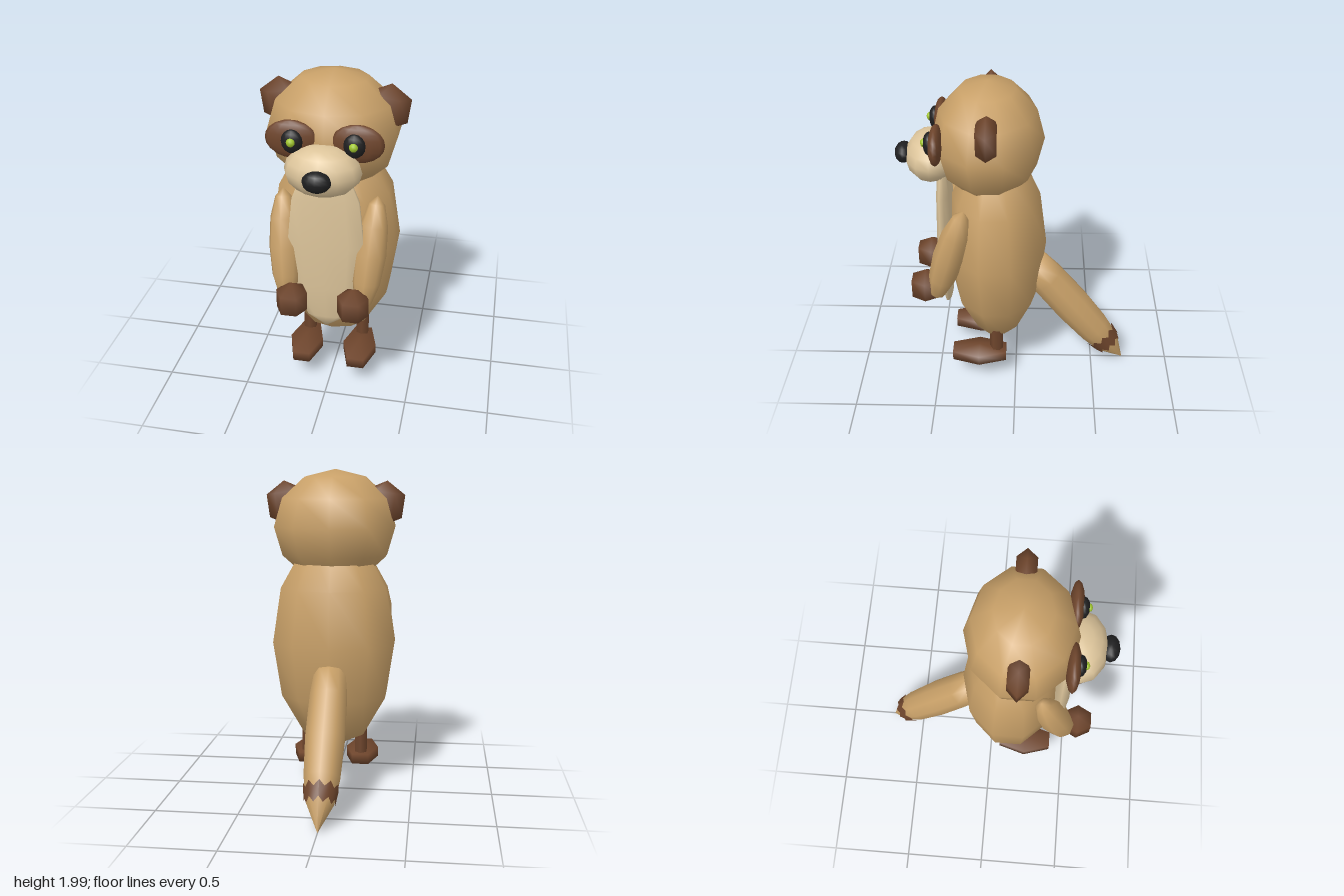
import * as THREE from 'three';

const material = (name, color) => {
  const m = new THREE.MeshStandardMaterial({ color });
  m.name = name;
  return m;
};

export function createModel() {
  const model = new THREE.Group();
  model.name = 'meerkat';

  const tan = material('tanFur', 0xc8a068);
  const cream = material('creamFur', 0xdcc49a);
  const brown = material('brownFur', 0x6e452c);
  const black = material('black', 0x1f1f20);
  const green = material('greenPupil', 0xa2c82e);
  const tanOpen = tan;

  const add = (name, geometry, mat, parent = model) => {
    const mesh = new THREE.Mesh(geometry, mat);
    mesh.name = name;
    parent.add(mesh);
    return mesh;
  };

  // Low-poly ellipsoid; turn spins the columns about y before scaling
  const blob = (name, mat, [x, y, z], [rx, ry, rz], cols, rows, turn = 0) => {
    const g = new THREE.SphereGeometry(1, cols, rows);
    g.rotateY(turn);
    g.scale(rx, ry, rz);
    const mesh = add(name, g, mat);
    mesh.position.set(x, y, z);
    return mesh;
  };

  // Align a part's y axis with the direction from a to b
  const aim = (mesh, a, b) => {
    const dir = new THREE.Vector3().subVectors(b, a).normalize();
    mesh.quaternion.setFromUnitVectors(new THREE.Vector3(0, 1, 0), dir);
  };

  // Torso, belly and head
  const quarter = Math.PI / 2;
  blob('body', tan, [0, 0.935, 0.12], [0.395, 0.685, 0.305], 10, 6, quarter);
  blob('belly', cream, [0, 1.04, 0.43], [0.232, 0.57, 0.052], 10, 6, quarter);
  blob('head', tan, [0, 1.65, 0.16], [0.387, 0.35, 0.325], 10, 6, quarter);

  // Muzzle and nose
  blob('muzzle', cream, [0, 1.537, 0.49], [0.216, 0.146, 0.156], 12, 8, quarter);
  blob('nose', black, [0, 1.547, 0.655], [0.08, 0.06, 0.053], 12, 8);

  for (const s of [1, -1]) {
    const side = s > 0 ? 'left' : 'right';

    // Face
    blob(side + 'EyePatch', brown, [s * 0.182, 1.688, 0.446], [0.146, 0.11, 0.042], 12, 10);
    blob(side + 'Eye', black, [s * 0.17, 1.69, 0.483], [0.06, 0.068, 0.035], 12, 8);
    blob(side + 'Pupil', green, [s * 0.17, 1.695, 0.513], [0.025, 0.025, 0.02], 8, 6);
    const ear = blob(side + 'Ear', brown, [s * 0.3, 1.79, 0.155], [0.139, 0.141, 0.078], 6, 3);
    ear.rotation.z = -s * 0.14;

    // Arm runs from shoulder to wrist
    const shoulder = new THREE.Vector3(s * 0.275, 1.31, 0.3);
    const wrist = new THREE.Vector3(s * 0.225, 0.65, 0.49);
    const mid = shoulder.clone().lerp(wrist, 0.5);
    const arm = blob(side + 'Arm', tan, mid.toArray(),
      [0.095, shoulder.distanceTo(wrist) / 2, 0.095], 8, 6);
    aim(arm, wrist, shoulder);
    blob(side + 'Hand', brown, [s * 0.18, 0.715, 0.55], [0.105, 0.115, 0.112], 6, 3);

    // Leg and foot
    const leg = add(side + 'Leg', new THREE.CylinderGeometry(0.042, 0.042, 0.3, 6), brown);
    leg.position.set(s * 0.17, 0.33, 0.123);
    blob(side + 'Foot', brown, [s * 0.17, 0.18, 0.233], [0.118, 0.062, 0.227], 6, 3);
  }

  // Tail, built along its own y axis and leaned down and back
  const root = new THREE.Vector3(0, 0.775, -0.1);
  const tip = new THREE.Vector3(0, 0.005, -0.71);
  const tail = new THREE.Group();
  tail.name = 'tail';
  tail.position.copy(root);
  aim(tail, root, tip);
  model.add(tail);
  const profile = [[0, 0], [0.1, 0], [0.115, 0.15], [0.12, 0.42], [0.108, 0.66],
    [0.084, 0.81], [0, 0.982]].map(([r, y]) => new THREE.Vector2(r, y));
  add('tailFur', new THREE.LatheGeometry(profile, 10), tanOpen, tail);

  // Ragged band near the tail tip: alternate columns are shifted along the axis
  const band = new THREE.CylinderGeometry(0.088, 0.105, 0.09, 20, 1, true);
  const pos = band.attributes.position;
  for (let i = 0; i < pos.count; i++) {
    const column = i % 21;
    const y = pos.getY(i) + (column % 2 ? 0.022 : -0.012);
    const r = 0.108 - (0.024 / 0.15) * (y + 0.1) + 0.007;
    const a = (column / 20) * Math.PI * 2;
    pos.setXYZ(i, Math.sin(a) * r, y, Math.cos(a) * r);
  }
  band.computeVertexNormals();
  add('tailBand', band, brown, tail).position.y = 0.76;

  return model;
}
